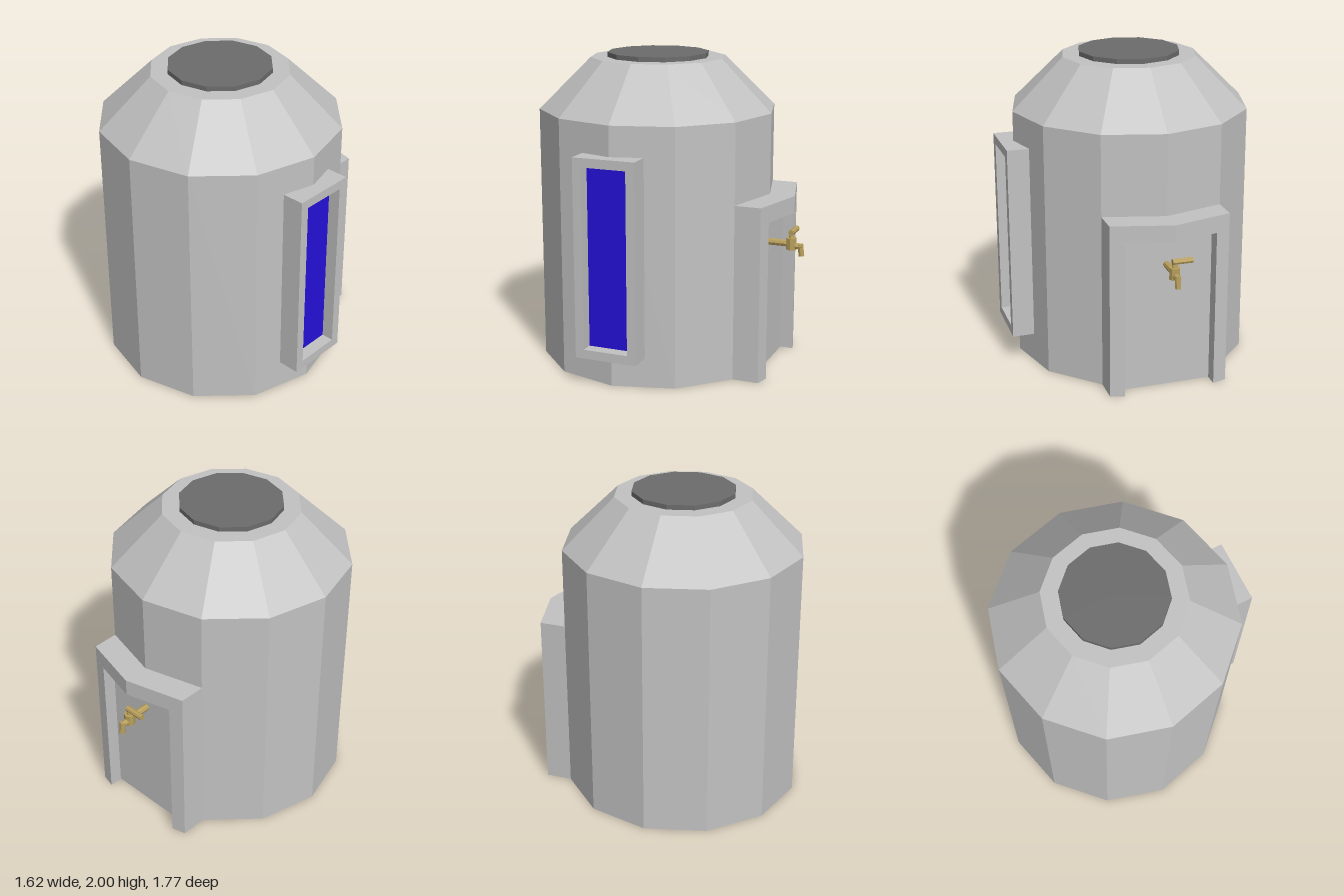
import * as THREE from 'three';

const material = (name, color) => {
  const m = new THREE.MeshStandardMaterial({ color });
  m.name = name;
  return m;
};

export function createModel() {
  const grey = material('lightGrey', 0xc2c2c2);
  const dark = material('darkGrey', 0x6c6c6c);
  const blue = material('blueGlass', 0x2410d8);
  const brass = material('brass', 0xb89f5c);

  const root = new THREE.Group();
  root.name = 'tank';
  // everything is laid out around the axis of the tank body
  root.position.set(-0.045, 0, 0.115);

  // faceted mesh
  const add = (name, geometry, mat, x = 0, y = 0, z = 0, parent = root) => {
    const g = geometry.index ? geometry.toNonIndexed() : geometry;
    g.computeVertexNormals();
    const mesh = new THREE.Mesh(g, mat);
    mesh.name = name;
    mesh.position.set(x, y, z);
    parent.add(mesh);
    return mesh;
  };
  // upright prism from a plan outline of [x, z] points
  const prism = (plan, height) => {
    const shape = new THREE.Shape(plan.map(([x, z]) => new THREE.Vector2(x, -z)));
    return new THREE.ExtrudeGeometry(shape, { depth: height, bevelEnabled: false }).rotateX(-Math.PI / 2);
  };

  // twelve-sided body, sloped shoulder and lid
  const R = 0.765, SIDES = 12;
  const profile = [[0, 0], [R, 0], [R, 1.645], [0.435, 1.97], [0, 1.97]];
  add('body', new THREE.LatheGeometry(profile.map(([r, y]) => new THREE.Vector2(r, y)), SIDES), grey);
  add('lid', new THREE.CylinderGeometry(0.327, 0.327, 0.03, SIDES), dark, 0, 1.985, 0);

  // door surround that follows the bend of the wall
  const door = new THREE.Group();
  door.name = 'doorway';
  root.add(door);
  const W = 0.3825, inner = 0.2925, doorTop = 1.02;
  add('doorLintel', prism([[-W, -0.66], [0, -0.76], [W, -0.66], [W, -0.83], [0, -0.93], [-W, -0.83]], 0.11),
    grey, 0, doorTop, 0, door);
  for (const s of [-1, 1]) {
    const plan = [[W, -0.66], [W, -0.83], [inner, -0.854], [inner, -0.68]].map(([x, z]) => [s * x, z]);
    add(s > 0 ? 'doorJambLeft' : 'doorJambRight', prism(plan, doorTop), grey, 0, 0, 0, door);
  }
  add('doorPanel', new THREE.BoxGeometry(inner * 2, doorTop, 0.067), grey, 0, doorTop / 2, -0.7335, door);

  // window frame with a recessed pane on the left side
  const rect = (C, w, h) => new C([[-w, -h], [w, -h], [w, h], [-w, h]].map(([x, y]) => new THREE.Vector2(x, y)));
  const outline = rect(THREE.Shape, 0.2025, 0.6325);
  outline.holes.push(rect(THREE.Path, 0.145, 0.575));
  const frame = new THREE.ExtrudeGeometry(outline, { depth: 0.14, bevelEnabled: false }).rotateY(Math.PI / 2);
  add('windowFrame', frame, grey, 0.711, 0.8225, 0);
  add('windowPane', new THREE.BoxGeometry(0.008, 1.15, 0.29), blue, 0.768, 0.8225, 0);

  // tap used as the door handle
  const tap = new THREE.Group();
  tap.name = 'tap';
  tap.position.set(0, 0.818, -0.915);
  root.add(tap);
  const rod = (name, r0, r1, length, x, y, z, rx = 0, rz = 0) => {
    const mesh = add(name, new THREE.CylinderGeometry(r0, r1, length, 8), brass, x, y, z, tap);
    mesh.rotation.set(rx, 0, rz);
  };
  rod('tapPipe', 0.022, 0.022, 0.16, 0, 0, 0.075, Math.PI / 2);
  rod('tapBody', 0.034, 0.034, 0.075, 0, 0, 0);
  rod('tapStem', 0.012, 0.02, 0.04, 0, 0.05, 0);
  rod('tapHandle', 0.019, 0.019, 0.13, -0.05, 0.073, 0, 0, Math.PI / 2);
  rod('tapNeck', 0.018, 0.022, 0.05, 0, -0.012, -0.045, -Math.PI / 2);
  rod('tapSpout', 0.019, 0.019, 0.078, 0, -0.036, -0.063, 0.12);

  const model = new THREE.Group();
  model.name = 'model';
  model.add(root);
  return model;
}
